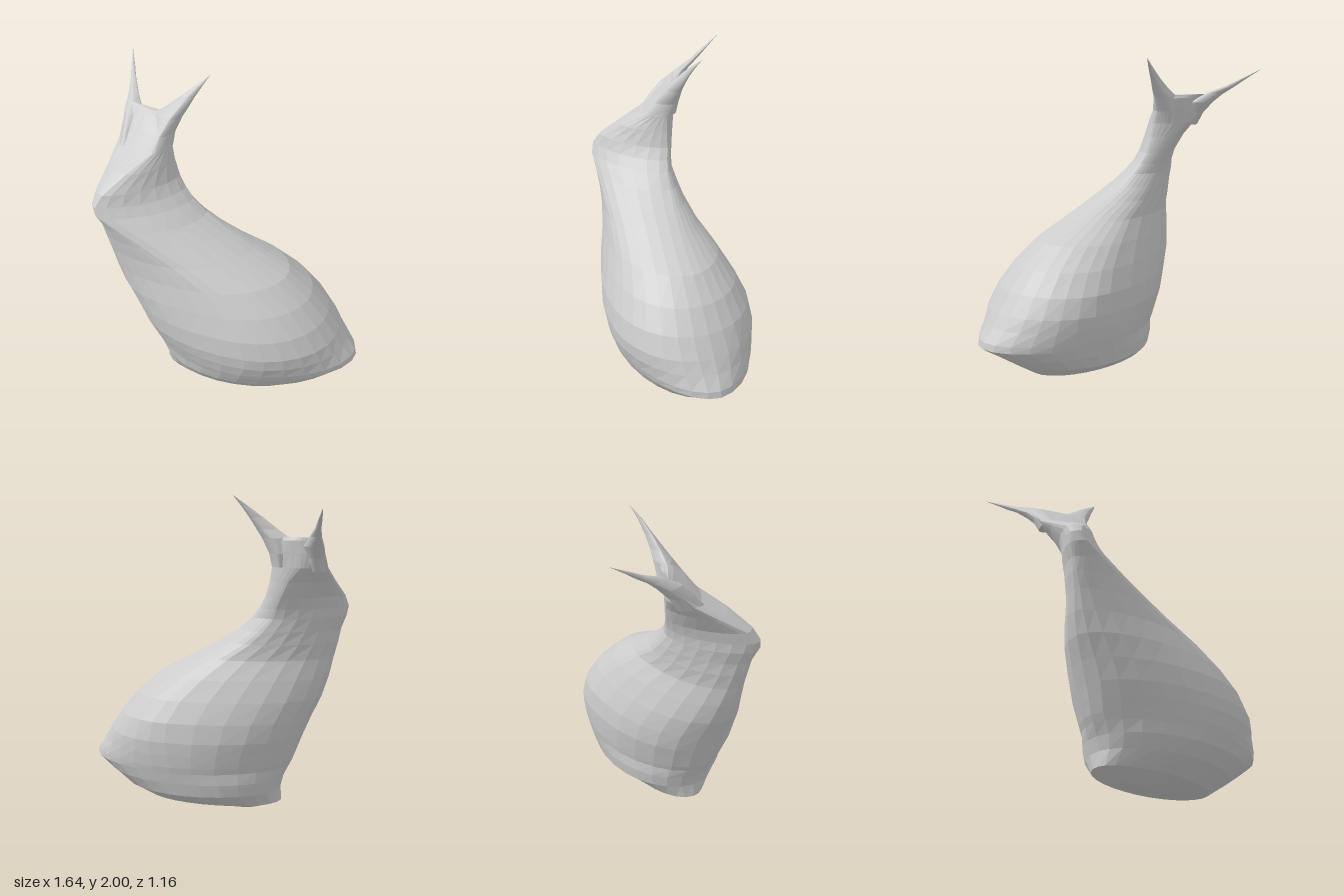
import * as THREE from 'three';

const SEGMENTS = 28;

// One horizontal ring: four extreme points (left, front, right, back) joined by
// curved quarters. p = 1 gives elliptical quarters, p = 2 straight ones.
function ring([y, xl, zl, xf, zf, xr, zr, xb, zb, p]) {
  const points = [];
  const q = SEGMENTS / 4;
  const quarters = [
    [xl, zl, xf, zf, true], [xf, zf, xr, zr, false],
    [xr, zr, xb, zb, true], [xb, zb, xl, zl, false],
  ];
  for (const [x0, z0, x1, z1, startsSideways] of quarters) {
    for (let i = 0; i < q; i++) {
      const t = (i / q) * Math.PI / 2;
      const c = Math.pow(Math.cos(t), p), s = Math.pow(Math.sin(t), p);
      points.push(startsSideways
        ? [x1 + (x0 - x1) * c, y, z0 + (z1 - z0) * s]
        : [x0 + (x1 - x0) * s, y, z1 + (z0 - z1) * c]);
    }
  }
  return points;
}

// Skin a stack of rings and close both ends with a fan
function loft(name, sections) {
  const rings = sections.map(ring);
  const positions = rings.flat(2);
  const index = [];
  const last = rings.length - 1;
  for (let j = 0; j < last; j++) {
    for (let i = 0; i < SEGMENTS; i++) {
      const k = (i + 1) % SEGMENTS;
      const a = j * SEGMENTS + i, b = j * SEGMENTS + k;
      index.push(a, b, b + SEGMENTS, a, b + SEGMENTS, a + SEGMENTS);
    }
  }
  for (const j of [0, last]) {
    const centre = positions.length / 3;
    for (let axis = 0; axis < 3; axis++) {
      positions.push(rings[j].reduce((sum, v) => sum + v[axis], 0) / SEGMENTS);
    }
    for (let i = 0; i < SEGMENTS; i++) {
      const a = j * SEGMENTS + i, b = j * SEGMENTS + (i + 1) % SEGMENTS;
      if (j === 0) index.push(centre, b, a);
      else index.push(centre, a, b);
    }
  }
  const geometry = new THREE.BufferGeometry();
  geometry.setAttribute('position', new THREE.Float32BufferAttribute(positions, 3));
  geometry.setIndex(index);
  geometry.computeVertexNormals();
  const mesh = new THREE.Mesh(geometry, new THREE.MeshStandardMaterial({
    color: 0xcccccc, flatShading: true, side: THREE.DoubleSide,
  }));
  mesh.name = name;
  return mesh;
}

// Columns: y, left x z, front x z, right x z, back x z, corner power
const BODY = [
  [0.00, -0.28, 0.15, -0.18, 0.20, -0.05, 0.15, -0.18, 0.09, 1],
  [0.03, -0.36, 0.14, -0.08, 0.27, 0.20, 0.13, -0.08, 0.00, 1],
  [0.06, -0.44, 0.14, 0.02, 0.34, 0.45, 0.13, 0.02, -0.10, 1],
  [0.15, -0.435, 0.14, 0.08, 0.45, 0.59, 0.14, 0.10, -0.235, 1],
  [0.23, -0.455, 0.14, 0.10, 0.51, 0.71, 0.15, 0.13, -0.255, 1],
  [0.30, -0.49, 0.15, 0.13, 0.54, 0.82, 0.16, 0.16, -0.27, 1.1],
  [0.34, -0.51, 0.15, 0.14, 0.555, 0.81, 0.16, 0.17, -0.28, 1.1],
  [0.42, -0.54, 0.16, 0.17, 0.575, 0.75, 0.15, 0.19, -0.29, 1.05],
  [0.50, -0.57, 0.17, 0.17, 0.58, 0.70, 0.15, 0.20, -0.295, 1],
  [0.62, -0.62, 0.18, 0.13, 0.56, 0.62, 0.15, 0.19, -0.28, 1],
  [0.75, -0.68, 0.20, 0.04, 0.51, 0.51, 0.14, 0.12, -0.23, 1],
  [0.88, -0.72, 0.22, -0.10, 0.455, 0.36, 0.13, 0.00, -0.17, 1.05],
  [1.00, -0.745, 0.24, -0.30, 0.41, 0.13, 0.10, -0.14, -0.105, 1.1],
  [1.10, -0.77, 0.25, -0.48, 0.385, -0.05, 0.07, -0.28, -0.08, 1.15],
  [1.18, -0.785, 0.26, -0.62, 0.37, -0.18, 0.04, -0.36, -0.07, 1.2],
];
const HEAD = [
  BODY[BODY.length - 1],
  [1.26, -0.815, 0.27, -0.76, 0.355, -0.27, 0.02, -0.42, -0.06, 1.25],
  [1.32, -0.825, 0.28, -0.79, 0.335, -0.32, 0.00, -0.44, -0.07, 1.3],
  [1.39, -0.81, 0.23, -0.75, 0.30, -0.36, -0.02, -0.47, -0.09, 1.35],
  [1.49, -0.775, 0.07, -0.63, 0.20, -0.39, -0.03, -0.52, -0.12, 1.35],
  [1.58, -0.75, -0.07, -0.50, 0.08, -0.405, -0.04, -0.60, -0.16, 1.35],
  [1.67, -0.745, -0.16, -0.47, 0.01, -0.40, -0.08, -0.60, -0.17, 1.5],
  [1.74, -0.72, -0.20, -0.48, -0.07, -0.42, -0.10, -0.56, -0.17, 1.7],
  [1.76, -0.70, -0.21, -0.52, -0.12, -0.48, -0.13, -0.56, -0.16, 1.8],
];
const RIGHT_EAR = [
  [1.56, -0.74, -0.05, -0.70, 0.02, -0.64, -0.08, -0.70, -0.145, 1.2],
  [1.64, -0.745, -0.14, -0.70, -0.05, -0.64, -0.13, -0.69, -0.20, 1.3],
  [1.71, -0.75, -0.22, -0.70, -0.12, -0.62, -0.17, -0.70, -0.27, 1.4],
  [1.77, -0.75, -0.31, -0.70, -0.23, -0.67, -0.26, -0.73, -0.34, 1.4],
  [1.82, -0.76, -0.39, -0.735, -0.36, -0.72, -0.37, -0.75, -0.42, 1.3],
  [1.87, -0.78, -0.48, -0.765, -0.455, -0.755, -0.47, -0.77, -0.49, 1.2],
  [1.93, -0.80, -0.58, -0.799, -0.578, -0.798, -0.58, -0.799, -0.581, 1],
];
const LEFT_EAR = [
  [1.58, -0.54, 0.00, -0.49, 0.08, -0.405, -0.05, -0.47, -0.13, 1.4],
  [1.66, -0.56, -0.07, -0.47, 0.02, -0.395, -0.08, -0.46, -0.145, 1.4],
  [1.75, -0.53, -0.12, -0.42, -0.04, -0.355, -0.10, -0.42, -0.15, 1.4],
  [1.80, -0.46, -0.12, -0.38, -0.07, -0.325, -0.11, -0.37, -0.145, 1.4],
  [1.87, -0.37, -0.13, -0.325, -0.11, -0.285, -0.13, -0.31, -0.15, 1.3],
  [1.94, -0.28, -0.155, -0.26, -0.145, -0.24, -0.155, -0.25, -0.165, 1.2],
  [2.00, -0.20, -0.185, -0.199, -0.184, -0.198, -0.185, -0.199, -0.186, 1],
];

export function createModel() {
  const model = new THREE.Group();
  model.name = 'seatedAnimal';
  model.add(
    loft('body', BODY),
    loft('head', HEAD),
    loft('rightEar', RIGHT_EAR),
    loft('leftEar', LEFT_EAR),
  );
  return model;
}
